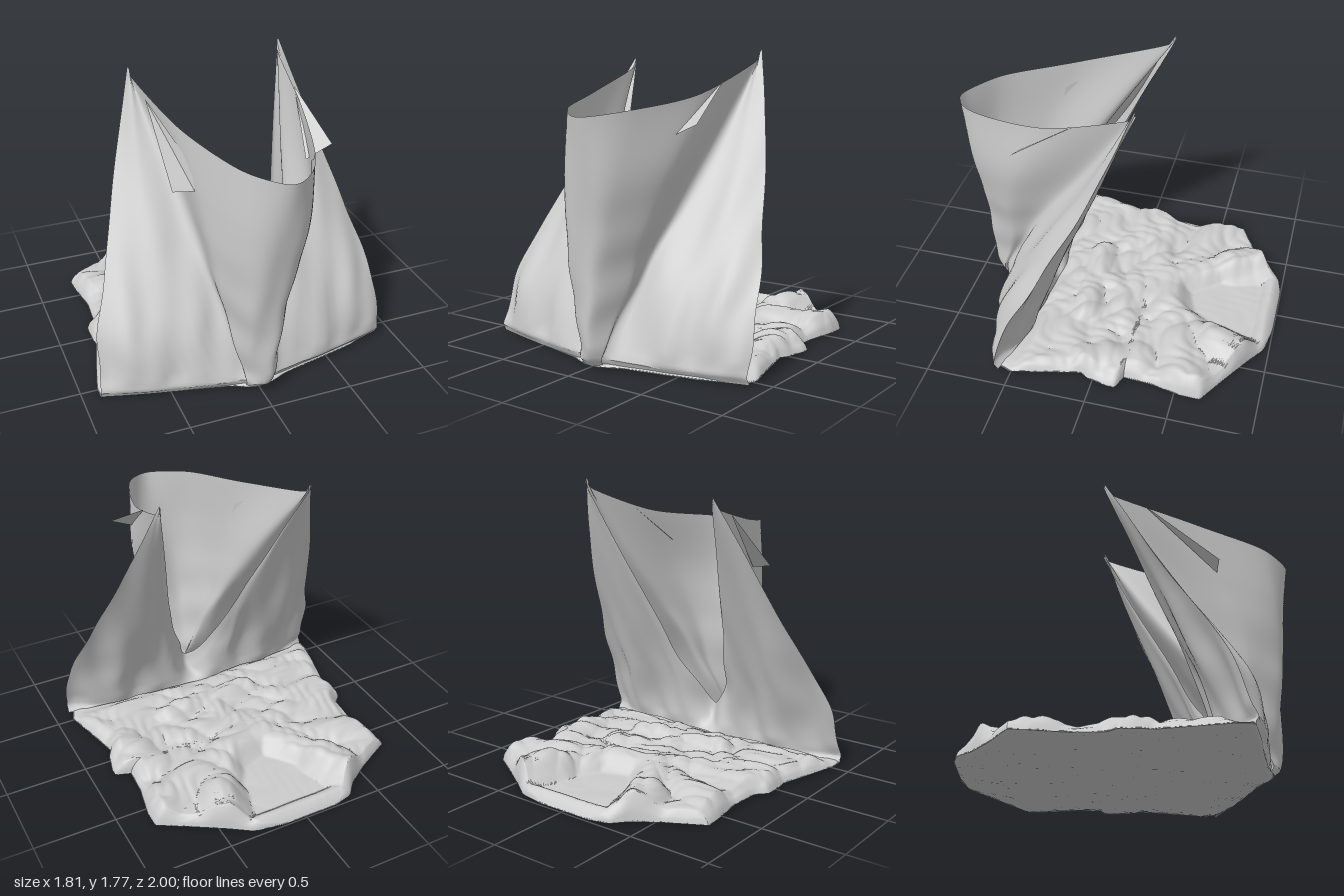
import * as THREE from 'three';
import { toCreasedNormals } from 'three/addons/utils/BufferGeometryUtils.js';

const material = new THREE.MeshStandardMaterial({ color: 0xcccccc, side: THREE.DoubleSide });
const { lerp, clamp, smoothstep } = THREE.MathUtils;

// Soft upright creases and a tucked hem, shared by the standing layers so their edges meet
function drape(p) {
  const low = 1 - smoothstep(p.y, 0.2, 1.2);
  const lift = smoothstep(p.y, 0.02, 0.15);
  p.z += (0.004 + 0.012 * low) * lift
    * (Math.sin(17 * p.x + 3 * p.y) + 0.6 * Math.sin(31 * p.x - 5 * p.y + 1));
  p.z -= 0.04 * (1 - smoothstep(p.y, 0.02, 0.07));
  p.x += 0.007 * low * lift * Math.sin(19 * p.y + 7 * p.z);
  return p;
}

// Mesh from a (nu x nv) grid of points given by a rule
function gridMesh(name, nu, nv, at, crease) {
  const pos = [], idx = [];
  for (let i = 0; i <= nu; i++) {
    for (let j = 0; j <= nv; j++) {
      const p = at(i / nu, j / nv);
      pos.push(p.x, p.y, p.z);
      if (i < nu && j < nv) {
        const a = i * (nv + 1) + j, b = a + nv + 1;
        idx.push(a, b, a + 1, b, b + 1, a + 1);
      }
    }
  }
  const geo = new THREE.BufferGeometry();
  geo.setAttribute('position', new THREE.Float32BufferAttribute(pos, 3));
  geo.setIndex(idx);
  const mesh = new THREE.Mesh(toCreasedNormals(geo, crease), material);
  mesh.name = name;
  return mesh;
}

// The model's left half mirrors its right half, a little wider and higher at the top
const mirrorPoint = ([x, y, z]) => [
  -x + 0.055 * Math.min(y, 1.2) + 0.06 * y * smoothstep(z, 0, 0.7) * smoothstep(y, 0.4, 1.2),
  y + 0.2 * Math.max(0, y - 1.42) * (1 - smoothstep(z, -0.1, 0.3)), z];

// Sheet lofted across upright rails; the last rail is the middle one
function sheet(name, half) {
  const rails = [...half, ...half.slice(0, -1).reverse().map(r => r.map(mirrorPoint))]
    .map(r => new THREE.CatmullRomCurve3(r.map(p => new THREE.Vector3(...p)), false, 'catmullrom', 0.5));
  const cache = new Map();
  return gridMesh(name, 96, 80, (u, v) => {
    if (!cache.has(v)) {
      cache.set(v, new THREE.CatmullRomCurve3(rails.map(r => r.getPoint(v)), false, 'catmullrom', 0.45));
    }
    return drape(cache.get(v).getPoint(u));
  }, 0.7);
}

const outerRail = [[-0.9, 0.02, 0.62], [-0.87, 0.4, 0.5], [-0.74, 0.8, 0.28], [-0.6, 1.25, 0.04], [-0.44, 1.72, -0.18]];

// Front layer: two leaning side panels with a U-shaped bulge between
const frontRails = [
  outerRail,
  [[-0.6, 0.02, 0.7], [-0.6, 0.35, 0.63], [-0.53, 0.8, 0.38], [-0.48, 1.25, 0.09], [-0.43, 1.7, -0.17]],
  [[-0.1, 0.02, 0.81], [-0.2, 0.5, 0.61], [-0.25, 0.85, 0.4], [-0.31, 1.22, 0.17], [-0.42, 1.65, -0.12]],
  [[-0.07, 0.02, 0.83], [-0.16, 0.45, 0.74], [-0.22, 0.8, 0.67], [-0.26, 1.15, 0.56], [-0.31, 1.53, 0.37]],
  [[-0.04, 0.02, 0.85], [-0.08, 0.45, 0.86], [-0.11, 0.8, 0.87], [-0.12, 1.12, 0.87], [-0.13, 1.46, 0.82]],
  [[0.01, 0.02, 0.86], [0.03, 0.4, 0.88], [0.06, 0.8, 0.92], [0.08, 1.12, 0.96], [0.09, 1.43, 1.0]],
];

// Back layer: rises from the floor and is cut to a deep V
const backRails = [
  outerRail,
  [[-0.6, 0.07, 0.48], [-0.6, 0.3, 0.42], [-0.53, 0.8, 0.21], [-0.47, 1.25, 0.02], [-0.44, 1.7, -0.18]],
  [[-0.32, 0.07, 0.47], [-0.3, 0.3, 0.43], [-0.28, 0.65, 0.3], [-0.32, 1.1, 0.1], [-0.42, 1.62, -0.15]],
  [[-0.2, 0.07, 0.46], [-0.2, 0.24, 0.45], [-0.19, 0.42, 0.42], [-0.19, 0.6, 0.36], [-0.21, 0.76, 0.29]],
  [[-0.1, 0.07, 0.45], [-0.1, 0.16, 0.47], [-0.1, 0.25, 0.48], [-0.1, 0.33, 0.48], [-0.11, 0.42, 0.46]],
  [[0.02, 0.07, 0.44], [0.02, 0.11, 0.48], [0.03, 0.15, 0.51], [0.03, 0.19, 0.53], [0.03, 0.24, 0.54]],
];

// Outline of the part lying on the floor: z, right edge x, left edge x
const outline = [
  [-1, -0.2, 0.15], [-0.97, -0.32, 0.33], [-0.88, -0.4, 0.46], [-0.78, -0.55, 0.62], [-0.66, -0.77, 0.82],
  [-0.55, -0.76, 0.82], [-0.35, -0.73, 0.78], [-0.18, -0.74, 0.77], [-0.15, -0.75, 0.86], [-0.1, -0.8, 0.86],
  [0.03, -0.8, 0.83], [0.08, -0.79, 0.8], [0.3, -0.85, 0.85], [0.5, -0.9, 0.9], [0.58, -0.9, 0.87],
  [0.66, -0.6, 0.66], [0.76, -0.17, 0.2], [0.82, -0.03, 0.05],
];
const frontZ = 0.82;

// Rolled folds on the floor: x0, z0, x1, z1, width, height
const folds = [
  [-0.38, -0.86, -0.32, -0.66, 0.16, 0.09], [-0.32, -0.62, -0.12, -0.38, 0.11, 0.05],
  [0.45, -0.86, 0.38, -0.66, 0.16, 0.1], [0.38, -0.62, 0.2, -0.34, 0.13, 0.05],
  [-0.33, -0.94, 0.4, -0.95, 0.07, 0.04],
  [-0.7, -0.52, 0.1, -0.26, 0.13, 0.04], [0.75, -0.56, -0.1, -0.24, 0.15, 0.06],
  [-0.1, -0.2, -0.65, -0.08, 0.12, 0.04], [0.65, -0.22, 0.72, 0.05, 0.13, 0.04],
  [0.02, -0.03, 0.36, -0.06, 0.12, 0.03], [-0.75, 0, -0.4, 0.03, 0.12, 0.03],
  [-0.25, 0.22, 0.35, 0.19, 0.09, 0.05], [0.05, 0.05, 0.03, 0.3, 0.08, 0.03],
];

function foldHeight(x, z) {
  let top = 0;
  for (const [x0, z0, x1, z1, w, h] of folds) {
    const dx = x1 - x0, dz = z1 - z0;
    const t = clamp(((x - x0) * dx + (z - z0) * dz) / (dx * dx + dz * dz), 0, 1);
    const d = Math.hypot(x - x0 - t * dx, z - z0 - t * dz) / w;
    if (d < 1) top = Math.max(top, h * (1 - d * d));
  }
  return top;
}

// Sharp, irregular crumples, 0 to 1
const crumple = (x, z) =>
  Math.abs(Math.sin(9 * x + 6 * z + 1.5 * Math.sin(7 * z))) * 0.4
  + Math.abs(Math.sin(14 * z - 8 * x + 1.2 * Math.sin(11 * x))) * 0.4
  + Math.abs(Math.sin(27 * x + 21 * z + 2 * Math.sin(13 * x - 9 * z))) * 0.2;

function floorPoint(u, v, upper) {
  const z = lerp(-1, frontZ, v);
  let k = 0;
  while (k < outline.length - 2 && outline[k + 1][0] < z) k++;
  const [za, ra, la] = outline[k], [zb, rb, lb] = outline[k + 1];
  const t = clamp((z - za) / (zb - za), 0, 1);
  const right = lerp(ra, rb, t), left = lerp(la, lb, t);
  const x = lerp(right, left, u);
  // the edge rolls down to meet the underside
  const edge = Math.min(x - right, left - x, (z + 1) * 1.2, frontZ - z);
  const roll = Math.sqrt(clamp(edge / 0.07, 0, 1));
  if (!upper) return new THREE.Vector3(x, 0.022 - 0.012 * roll + 0.008 * crumple(x * 2, z * 2), z);
  // flat V-shaped hollow inside the collar
  const reach = 0.36 - 0.55 * (z + 0.85) - Math.abs(x - 0.03);
  const hollow = smoothstep(reach, -0.06, 0.06) * (1 - smoothstep(z, -0.45, -0.33));
  const inBag = smoothstep(z, 0.4, 0.52);
  const h = lerp(0.04, 0.02, hollow) + lerp(0.04, 0.006, hollow) * crumple(x, z) + foldHeight(x, z);
  return new THREE.Vector3(x, 0.022 + roll * lerp(h, 0.02, inBag), z);
}

// Small loose corner of cloth hanging by the bulge
function flap(name, corners) {
  const geo = new THREE.BufferGeometry();
  geo.setAttribute('position', new THREE.Float32BufferAttribute(corners.flat(), 3));
  geo.setIndex(corners.length === 4 ? [0, 2, 1, 0, 3, 2] : [0, 2, 1]);
  const mesh = new THREE.Mesh(geo.toNonIndexed(), material);
  mesh.geometry.computeVertexNormals();
  mesh.name = name;
  return mesh;
}

export function createModel() {
  const group = new THREE.Group();
  group.name = 'drapedGarment';
  group.add(
    sheet('frontLayer', frontRails),
    sheet('backLayer', backRails),
    gridMesh('floorClothTop', 130, 140, (u, v) => floorPoint(1 - u, v, true), 0.8),
    gridMesh('floorClothUnderside', 80, 80, (u, v) => floorPoint(u, v, false), 0.8),
    flap('rightFlap', [[-0.41, 1.6, 0.05], [-0.28, 1.35, 0.46], [-0.28, 1.21, 0.5], [-0.41, 1.23, 0.5]]),
    flap('leftFlap', [[0.46, 1.6, 0.17], [0.53, 1.38, 0.54], [0.37, 1.31, 0.54]]),
  );
  return group;
}
